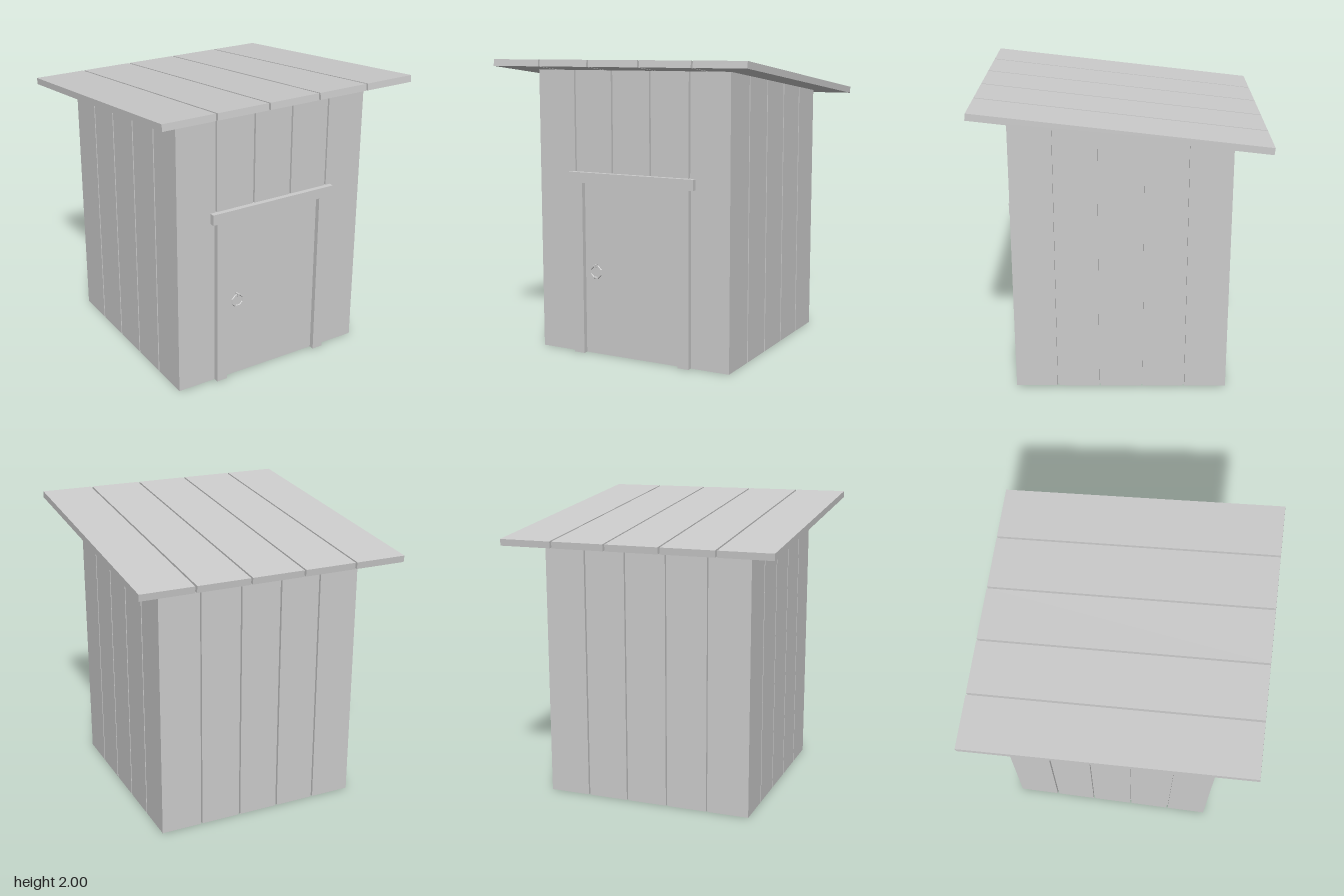
import * as THREE from 'three';

const HALF = 0.718;                       // half width of the square hut
const SLOPE = Math.atan(0.114);           // roof pitch, high at the front
const ROOF_Y = 1.87;                      // roof centre height
const ROOF_T = 0.045;                     // roof board thickness
const wallTop = (z) => ROOF_Y - ROOF_T / 2 / Math.cos(SLOPE) + z * Math.tan(SLOPE);

const material = new THREE.MeshStandardMaterial({ color: 0xcccccc, flatShading: true });
const sheet = new THREE.MeshStandardMaterial({ color: 0xcccccc, flatShading: true, side: THREE.DoubleSide });

function add(parent, name, geometry, x = 0, y = 0, z = 0, mat = material) {
  const mesh = new THREE.Mesh(geometry, mat);
  mesh.name = name;
  mesh.position.set(x, y, z);
  parent.add(mesh);
  return mesh;
}

// Plan outline of one wall as [along, outward] points, with narrow grooves between planks
function plankOutline(planks) {
  const pts = [[-HALF, HALF]];
  const g = 0.006, depth = 0.022;
  for (let i = 1; i < planks; i++) {
    const u = -HALF + (2 * HALF * i) / planks;
    pts.push([u - g, HALF], [u - g, HALF - depth], [u + g, HALF - depth], [u + g, HALF]);
  }
  pts.push([HALF, HALF]);
  return pts;
}

// Raises an outline into a wall, turned about y, ending at the roof or at a fixed height
function wallGeometry(outline, angle, bottom, top) {
  const c = Math.cos(angle), s = Math.sin(angle);
  const pts = outline.map(([u, w]) => [u * c + w * s, w * c - u * s]);
  const pos = [];
  for (let i = 0; i < pts.length - 1; i++) {
    const [ax, az] = pts[i], [bx, bz] = pts[i + 1];
    const ta = top ?? wallTop(az), tb = top ?? wallTop(bz);
    pos.push(ax, bottom, az, bx, bottom, bz, bx, tb, bz);
    pos.push(ax, bottom, az, bx, tb, bz, ax, ta, az);
  }
  const geo = new THREE.BufferGeometry();
  geo.setAttribute('position', new THREE.Float32BufferAttribute(pos, 3));
  geo.computeVertexNormals();
  return geo;
}

export function createModel() {
  const hut = new THREE.Group();
  hut.name = 'shed';

  // Plank walls, open underneath
  const outline = plankOutline(5);
  ['leftWall', 'backWall', 'rightWall'].forEach((name, i) =>
    add(hut, name, wallGeometry(outline, ((i + 1) * Math.PI) / 2, 0), 0, 0, 0, sheet));

  // Front: planks above the door, plain door wall below
  const split = 1.21;
  add(hut, 'frontWallUpper', wallGeometry(outline, 0, split), 0, 0, 0, sheet);
  add(hut, 'frontWallDoor', wallGeometry([[-HALF, HALF], [HALF, HALF]], 0, 0, split), 0, 0, 0, sheet);

  // Door frame
  const frame = new THREE.Group();
  frame.name = 'doorFrame';
  hut.add(frame);
  const frameZ = 0.728, frameD = 0.05;
  for (const side of [-1, 1])
    add(frame, 'doorPost', new THREE.BoxGeometry(0.08, 1.18, frameD), side * 0.402, 0.59, frameZ);
  add(frame, 'lintel', new THREE.BoxGeometry(0.945, 0.072, frameD), 0, 1.214, frameZ);

  // Ring handle hanging from a small staple
  const handle = new THREE.Group();
  handle.name = 'doorHandle';
  handle.position.set(-0.272, 0.575, 0);
  hut.add(handle);
  const ring = add(handle, 'handleRing', new THREE.TorusGeometry(0.043, 0.007, 6, 8), 0, 0, 0.734);
  ring.rotation.z = Math.PI / 8;
  add(handle, 'handleStaple', new THREE.BoxGeometry(0.012, 0.022, 0.036), 0, 0.041, 0.729);

  // Sloping roof of five boards with narrow gaps
  const roof = new THREE.Group();
  roof.name = 'roof';
  roof.position.y = ROOF_Y;
  roof.rotation.x = -SLOPE;
  hut.add(roof);
  const pitch = 0.3735;
  for (let i = -2; i <= 2; i++)
    add(roof, 'roofBoard', new THREE.BoxGeometry(pitch - 0.013, ROOF_T, 1.893), i * pitch, 0, 0);

  return hut;
}
